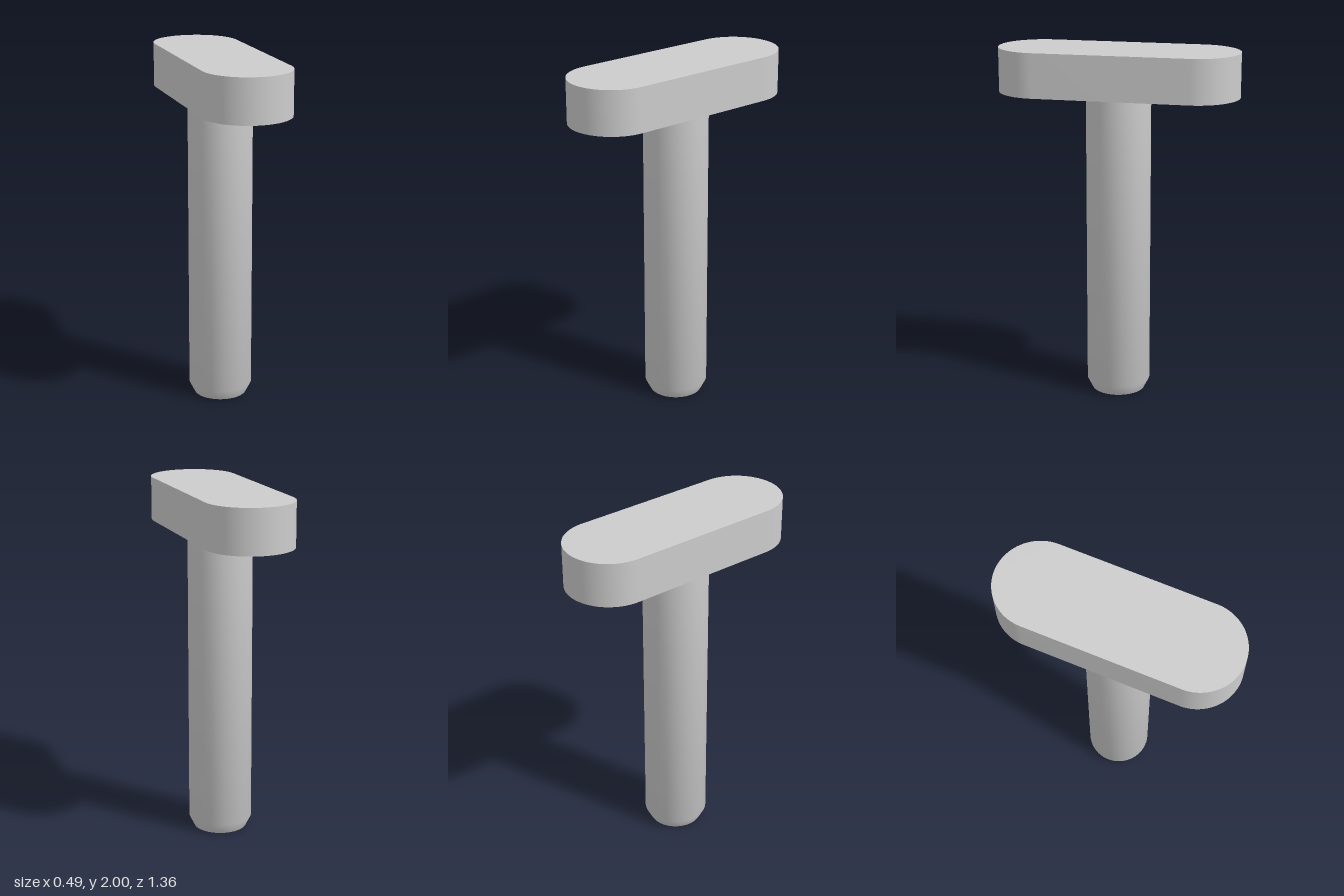
import * as THREE from 'three';
import { toCreasedNormals } from 'three/addons/utils/BufferGeometryUtils.js';

const HEAD_RADIUS = 0.246;
const HEAD_HALF_LENGTH = 0.68;
const HEAD_BOTTOM = 1.75;
const TOP = 2;
const SHANK_RADIUS = 0.182;
const TIP_RADIUS = 0.152;
const CHAMFER_HEIGHT = 0.06;
const CREASE = Math.PI / 6;

export function createModel() {
  const steel = new THREE.MeshStandardMaterial({ color: 0xcccccc });
  steel.name = 'steel grey';

  const model = new THREE.Group();
  model.name = 'tHeadBolt';

  const addPart = (name, geometry) => {
    const mesh = new THREE.Mesh(toCreasedNormals(geometry, CREASE), steel);
    mesh.name = name;
    model.add(mesh);
  };

  // Head: a slot-shaped bar with round ends, lying along z
  const c = HEAD_HALF_LENGTH - HEAD_RADIUS;
  const slot = new THREE.Shape();
  slot.absarc(0, c, HEAD_RADIUS, 0, Math.PI);
  slot.absarc(0, -c, HEAD_RADIUS, Math.PI, Math.PI * 2);
  slot.closePath();
  const head = new THREE.ExtrudeGeometry(slot, {
    depth: TOP - HEAD_BOTTOM, bevelEnabled: false, curveSegments: 32,
  });
  head.rotateX(-Math.PI / 2).translate(0, HEAD_BOTTOM, 0);
  addPart('head', head);

  // Shank: a round rod with a chamfered, flat tip
  const profile = [
    [0, 0],
    [TIP_RADIUS, 0],
    [SHANK_RADIUS, CHAMFER_HEIGHT],
    [SHANK_RADIUS, HEAD_BOTTOM],
  ].map(([r, y]) => new THREE.Vector2(r, y));
  addPart('shank', new THREE.LatheGeometry(profile, 64));

  return model;
}
